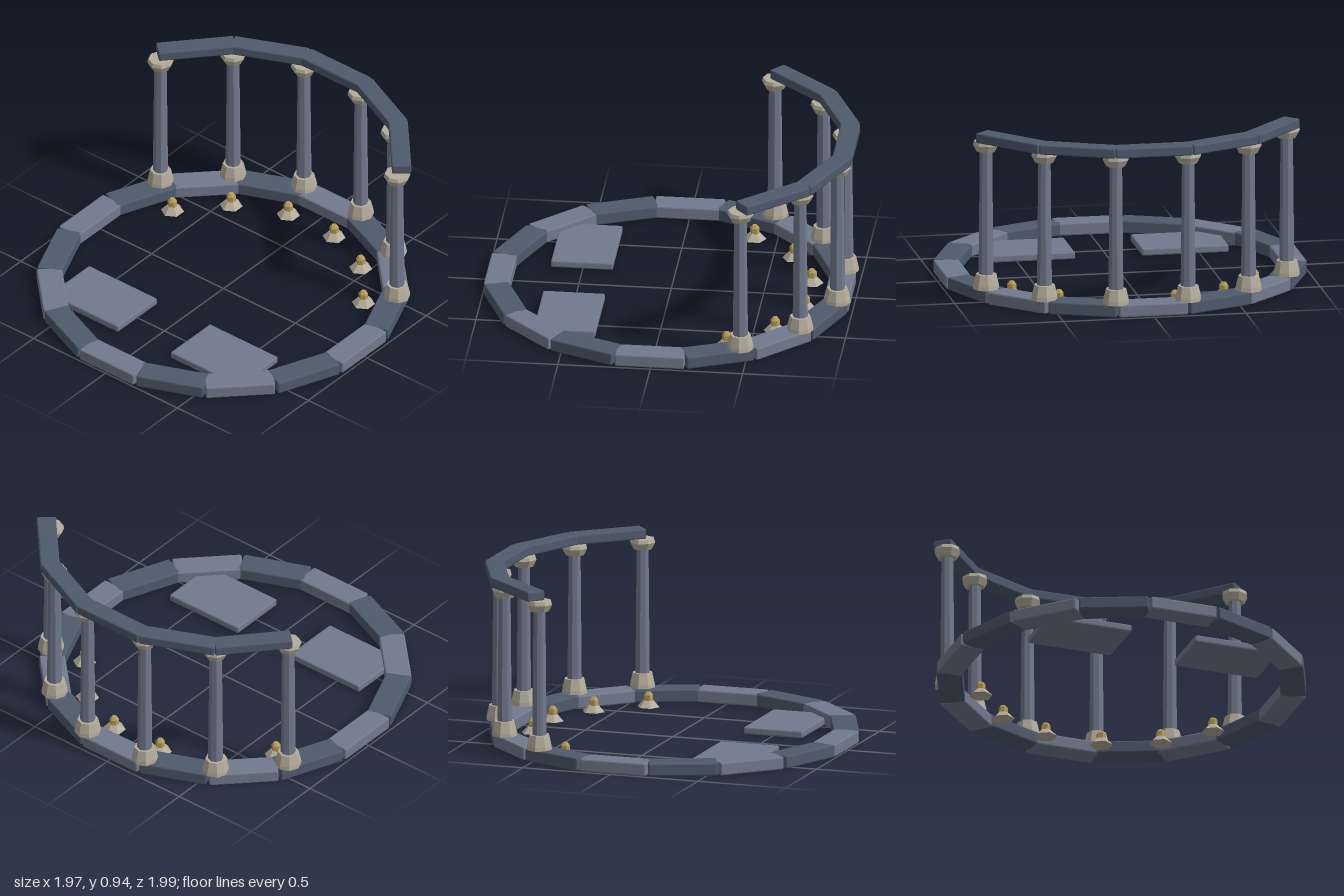
import * as THREE from 'three';
import { RoundedBoxGeometry } from 'three/addons/geometries/RoundedBoxGeometry.js';

const mat = (name, color) => {
  const m = new THREE.MeshStandardMaterial({ color, flatShading: true });
  m.name = name;
  return m;
};

const CENTER_Z = 0.007; // centre of the ring
const rad = THREE.MathUtils.degToRad;

export function createModel() {
  const slate = mat('light slate', 0x717a8e);
  const darkSlate = mat('dark slate', 0x4e5a6d);
  const stone = mat('pale stone', 0xb5ad9b);
  const gold = mat('gold', 0xb89d58);

  const model = new THREE.Group();
  model.name = 'colonnade';

  const add = (parent, name, geometry, material) => {
    const mesh = new THREE.Mesh(geometry, material);
    mesh.name = name;
    parent.add(mesh);
    return mesh;
  };
  // Box with chamfered edges
  const block = (w, h, d, r = 0.008) => new RoundedBoxGeometry(w, h, d, 1, r);
  // Faceted turned part; points are [radius, y]
  const turned = (points, sides) =>
    new THREE.LatheGeometry(points.map(([r, y]) => new THREE.Vector2(r, y)), sides);
  // Place at an angle from the back, turning towards the model's left
  const place = (object, degrees, radius, y, turn = true) => {
    const a = rad(degrees);
    object.position.set(Math.sin(a) * radius, y, CENTER_Z - Math.cos(a) * radius);
    if (turn) object.rotation.y = -a;
  };

  // Floor ring of sixteen alternating blocks
  const ringBlock = block(0.375, 0.07, 0.138);
  for (let i = 0; i < 16; i++) {
    const dark = i % 2 === 1;
    const mesh = add(model, 'ringBlock', ringBlock, dark ? darkSlate : slate);
    place(mesh, i * 22.5, 0.918, dark ? 0.0355 : 0.035);
  }

  // Beam of five pieces over the columns
  const beam = block(0.42, 0.055, 0.104);
  for (let i = -2; i <= 2; i++) {
    place(add(model, 'beam', beam, darkSlate), i * 24, 0.954, 0.914);
  }

  // Columns, and a small floor lamp in front of each
  const base = turned([[0, 0.068], [0.072, 0.068], [0.07, 0.09], [0.056, 0.15], [0, 0.15]], 8);
  const shaft = turned([[0.041, 0.14], [0.034, 0.84]], 8);
  const capital = turned([[0, 0.83], [0.052, 0.83], [0.072, 0.868], [0.066, 0.888], [0, 0.888]], 8);
  const dish = turned([[0, 0], [0.063, 0], [0.03, 0.035], [0, 0.035]], 6);
  const knob = turned([[0.026, 0.033], [0.026, 0.065], [0.014, 0.08], [0, 0.08]], 6);
  for (let i = 0; i < 6; i++) {
    const angle = -60 + i * 24;
    const column = new THREE.Group();
    column.name = 'column';
    add(column, 'columnBase', base, stone);
    add(column, 'columnShaft', shaft, slate);
    add(column, 'columnCapital', capital, stone);
    place(column, angle, 0.95, 0, false);

    const lamp = new THREE.Group();
    lamp.name = 'floorLamp';
    add(lamp, 'lampDish', dish, stone);
    add(lamp, 'lampKnob', knob, gold);
    place(lamp, angle, 0.767, 0, false);
    model.add(column, lamp);
  }

  // Two floor slabs near the front
  const slab = block(0.475, 0.04, 0.335);
  for (const side of [-1, 1]) {
    add(model, side > 0 ? 'leftSlab' : 'rightSlab', slab, slate)
      .position.set(side * 0.42, 0.021, 0.505);
  }

  return model;
}
